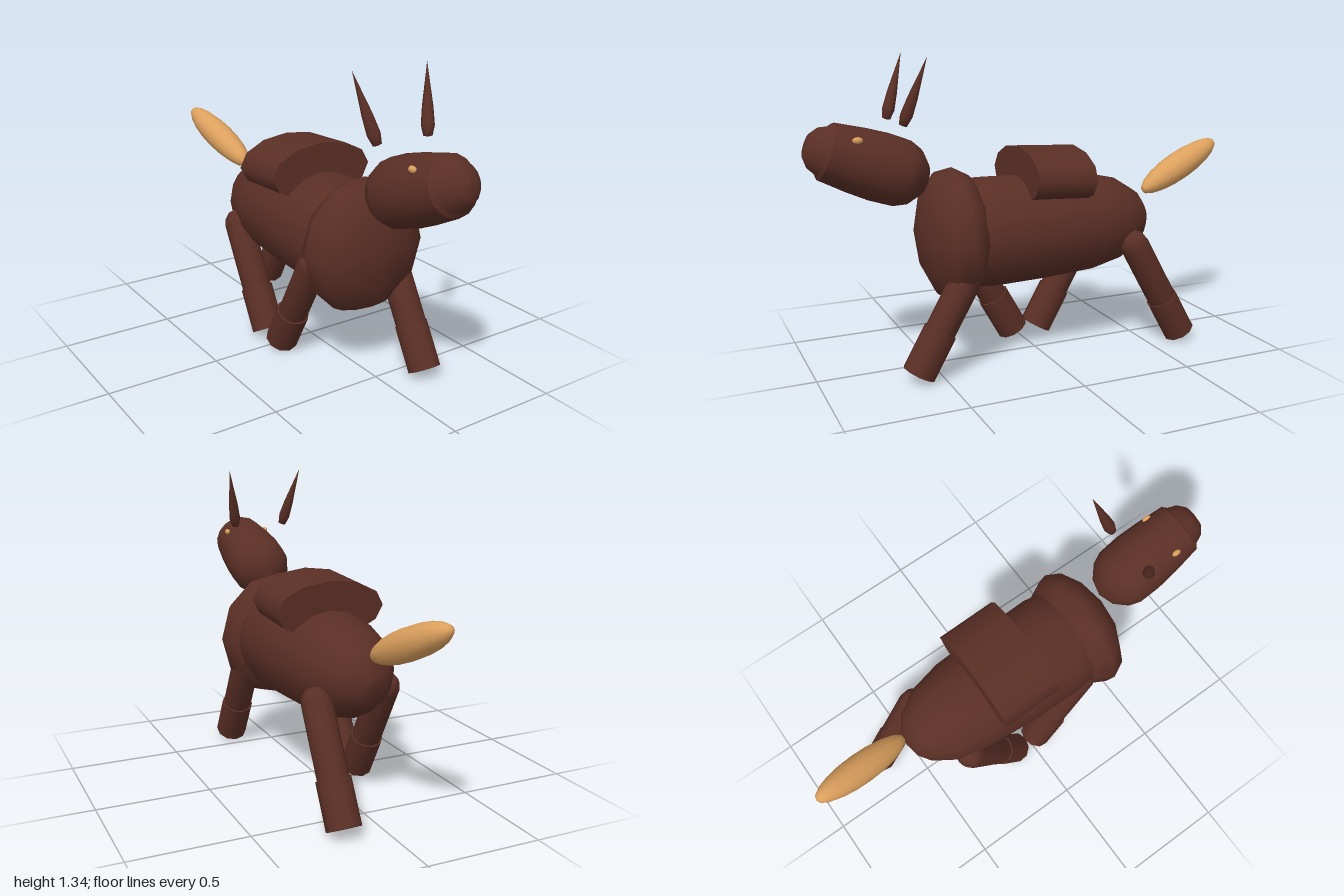
import * as THREE from 'three';

const brown = new THREE.MeshStandardMaterial({ color: 0x5a2f25 });
brown.name = 'darkBrown';
const tan = new THREE.MeshStandardMaterial({ color: 0xdda15e });
tan.name = 'tan';

const vec = (p) => new THREE.Vector3(...p);

// Stands a y-axis geometry at a point, with its y axis along a direction
function part(name, geometry, material, at, dir = [0, 1, 0]) {
  const mesh = new THREE.Mesh(geometry, material);
  mesh.name = name;
  mesh.position.copy(vec(at));
  mesh.quaternion.setFromUnitVectors(new THREE.Vector3(0, 1, 0), vec(dir).normalize());
  return mesh;
}

// Turned solid from [radius, height] pairs, bottom to top
function turned(profile, sides) {
  return new THREE.LatheGeometry(profile.map(([r, y]) => new THREE.Vector2(r, y)), sides);
}

// Leg sloping from hip to foot, with a round hip and a wider cuff
function makeLeg(name, x, hipZ, footZ) {
  const leg = new THREE.Group();
  leg.name = name;
  const foot = [x, 0.04, footZ];
  const dir = [0, 0.46, hipZ - footZ];
  const length = vec(dir).length();
  leg.add(part('upperLeg', turned([
    [0, 0.01], [0.066, 0.01], [0.066, length - 0.02], [0.058, length + 0.015], [0.035, length + 0.04], [0, length + 0.048],
  ], 12), brown, foot, dir));
  const cuff = new THREE.CylinderGeometry(0.073, 0.073, 0.2, 10);
  cuff.translate(0, 0.1, 0);
  leg.add(part('cuff', cuff, brown, foot, dir));
  return leg;
}

export function createModel() {
  const model = new THREE.Group();
  model.name = 'animal';

  // Barrel body and low-sided chest
  model.add(part('body', turned([
    [0, -0.555], [0.07, -0.54], [0.125, -0.5], [0.188, -0.4], [0.222, -0.25], [0.237, 0],
    [0.243, 0.25], [0.22, 0.4], [0.12, 0.48], [0, 0.5],
  ], 16), brown, [0, 0.575, 0], [0, 0, 1]));
  const chest = new THREE.SphereGeometry(1, 12, 6);
  chest.scale(0.29, 0.295, 0.15);
  model.add(part('chest', chest, brown, [0, 0.575, 0.39]));

  // Saddle: flattened drum lying along the back
  const saddle = new THREE.CylinderGeometry(1, 1, 0.275, 12);
  saddle.rotateY(Math.PI / 2);
  saddle.scale(0.25, 1, 0.125);
  model.add(part('saddle', saddle, brown, [0, 0.811, -0.047], [0, 0.05, 1]));

  // Head raised towards the snout
  const headDir = [0, 0.342, 0.94];
  model.add(part('head', turned([
    [0, -0.12], [0.07, -0.1], [0.122, -0.05], [0.142, 0], [0.145, 0.1], [0.137, 0.2], [0.12, 0.33],
  ], 16), brown, [0, 0.86, 0.61], headDir));
  model.add(part('snout', turned([
    [0.12, 0.328], [0.1, 0.345], [0.085, 0.38], [0.05, 0.408], [0, 0.415],
  ], 16), brown, [0, 0.86, 0.61], headDir));

  for (const [side, s] of [['left', 1], ['right', -1]]) {
    // Eyes
    const eye = new THREE.SphereGeometry(1, 8, 6);
    eye.scale(0.012, 0.014, 0.022);
    model.add(part(side + 'Eye', eye, tan, [s * 0.101, 1.022, 0.81]));
    // Tall pointed ears
    model.add(part(side + 'Ear', turned([
      [0, 0], [0.018, 0.004], [0.027, 0.045], [0.022, 0.12], [0, 0.295],
    ], 8), brown, [s * 0.122, 1.072, 0.632], [s * 0.06, 0.283, -0.092]));
  }

  // Legs in a running stride
  model.add(makeLeg('leftFrontLeg', 0.175, 0.35, 0.61));
  model.add(makeLeg('leftBackLeg', 0.175, -0.405, -0.665));
  model.add(makeLeg('rightFrontLeg', -0.18, 0.295, 0.035));
  model.add(makeLeg('rightBackLeg', -0.18, -0.345, -0.085));

  // Tail, swung a little to one side
  const tail = new THREE.SphereGeometry(1, 12, 10);
  tail.scale(0.067, 0.245, 0.067);
  model.add(part('tail', tail, tan, [-0.035, 0.788, -0.775], [-0.07, 0.2, -0.44]));

  return model;
}
